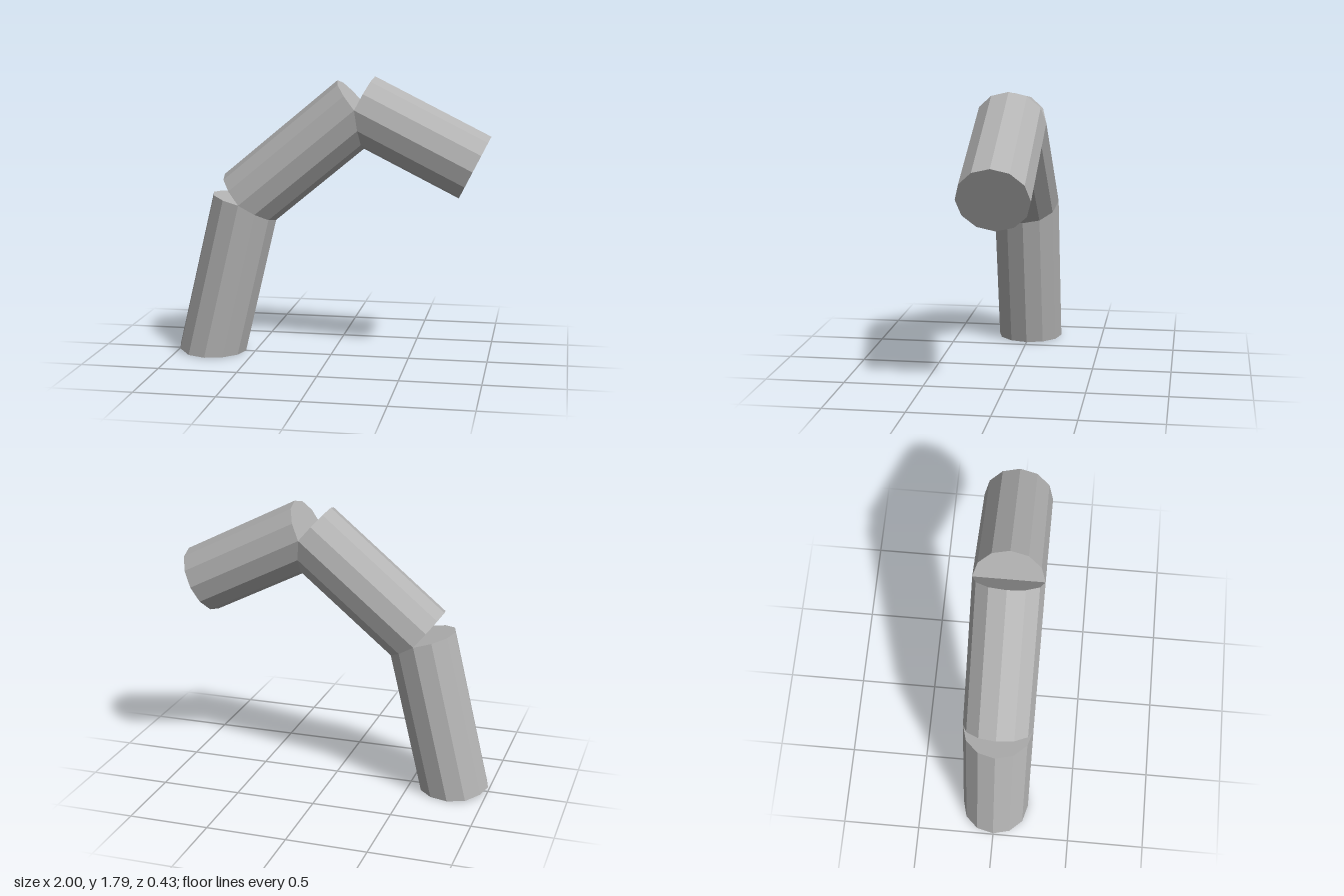
import * as THREE from 'three';

const RADIUS = 0.217;
const SIDES = 12;

// Faceted cylinder running from a to b in the xy plane
function segment(name, a, b, material, trimAtGround = false) {
  const dir = new THREE.Vector3(b[0] - a[0], b[1] - a[1], 0);
  const length = dir.length();
  dir.normalize();
  const geo = new THREE.CylinderGeometry(RADIUS, RADIUS, length, SIDES);
  const pos = geo.attributes.position;

  // Shift the lower cap's centre to the crease where the cut begins
  if (trimAtGround) {
    for (let i = 0; i < pos.count; i++) {
      if (pos.getY(i) < 0 && Math.hypot(pos.getX(i), pos.getZ(i)) < 0.01) pos.setX(i, -RADIUS / 2);
    }
  }

  geo.rotateZ(Math.atan2(-dir.x, dir.y));
  geo.translate((a[0] + b[0]) / 2, (a[1] + b[1]) / 2, 0);

  // Slide points below the ground up along the axis, leaving a flat foot
  if (trimAtGround) {
    const p = new THREE.Vector3();
    for (let i = 0; i < pos.count; i++) {
      p.fromBufferAttribute(pos, i);
      if (p.y < 0) {
        p.addScaledVector(dir, -p.y / dir.y);
        pos.setXYZ(i, p.x, p.y, p.z);
      }
    }
  }

  // Separate faces give crisp facets
  const flat = geo.toNonIndexed();
  flat.computeVertexNormals();
  const mesh = new THREE.Mesh(flat, material);
  mesh.name = name;
  return mesh;
}

export function createModel() {
  const grey = new THREE.MeshStandardMaterial({ color: 0xb4b4b4 });
  grey.name = 'plain grey';

  // Centre-line joints from the foot to the free end
  const foot = [-0.789, -0.02];
  const lowerJoint = [-0.549, 0.99];
  const upperJoint = [0.18, 1.595];
  const tip = [0.902, 1.234];

  const group = new THREE.Group();
  group.name = 'bentPipe';
  group.add(
    segment('lowerSegment', foot, lowerJoint, grey, true),
    segment('middleSegment', lowerJoint, upperJoint, grey),
    segment('endSegment', upperJoint, tip, grey),
  );
  return group;
}
